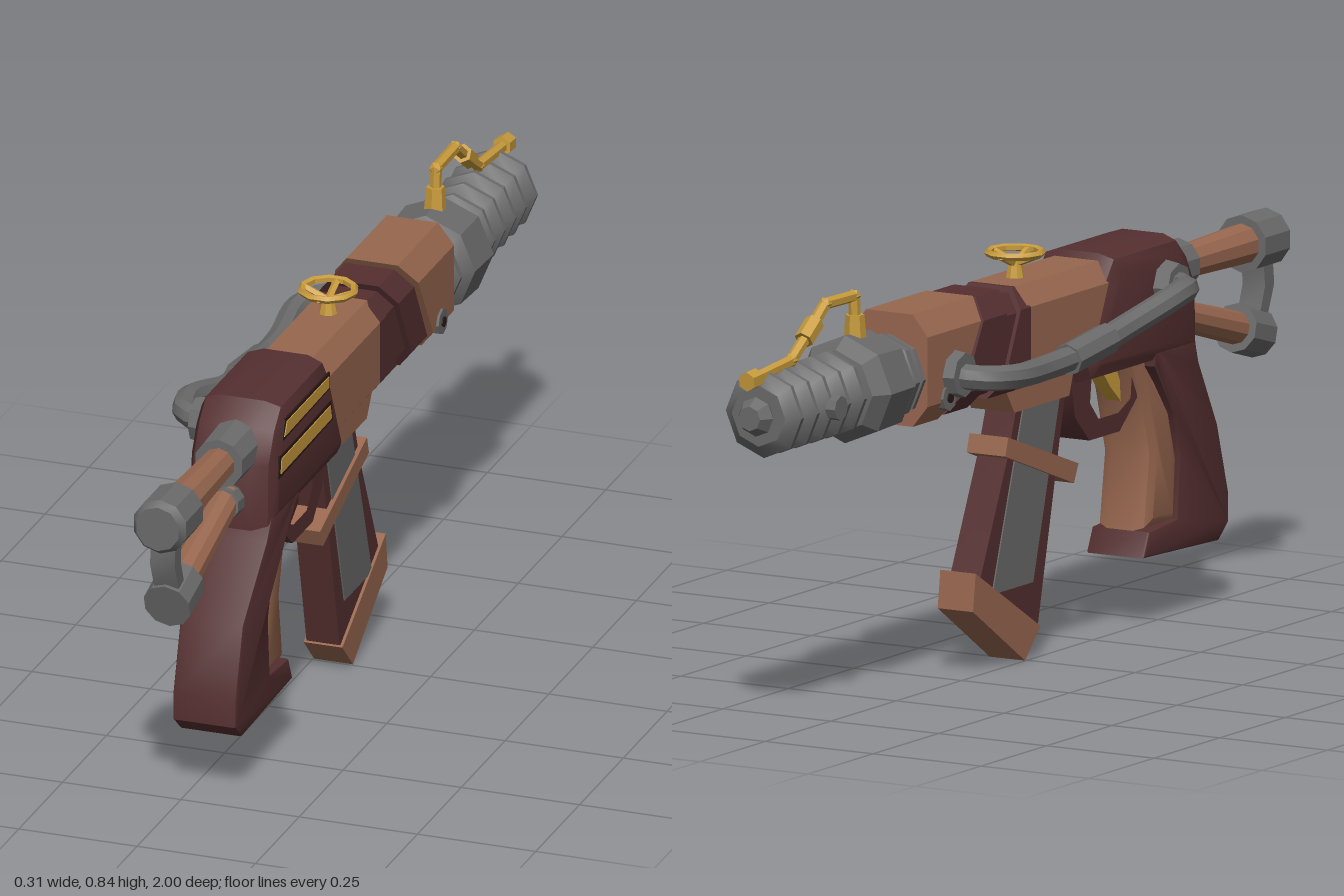
import * as THREE from 'three';
import { toCreasedNormals } from 'three/addons/utils/BufferGeometryUtils.js';

const CX = 0.043; // centre plane of the body
const mat = (name, color) => Object.assign(new THREE.MeshStandardMaterial({ color }), { name });
const V = (x, y, z) => new THREE.Vector3(x, y, z);

export function createModel() {
  const dark = mat('dark wood', 0x552f30);
  const wood = mat('copper brown', 0x98674f);
  const steel = mat('grey steel', 0x6a6a6a);
  const brass = mat('brass', 0xc89b3c);
  const slot = mat('slot shadow', 0x2c1818);
  const model = new THREE.Group();

  const add = (name, geo, material) => {
    const mesh = new THREE.Mesh(toCreasedNormals(geo, 0.6), material);
    mesh.name = name;
    model.add(mesh);
    return mesh;
  };

  // Side outline in (z, y), extruded across x
  const side = (points, width, bevel = 0, thick = bevel, holes = []) => {
    const shape = new THREE.Shape(points.map(p => new THREE.Vector2(...p)));
    for (const h of holes) shape.holes.push(new THREE.Path(h.map(p => new THREE.Vector2(...p))));
    const depth = width - 2 * thick;
    return new THREE.ExtrudeGeometry(shape, {
      depth, bevelEnabled: bevel > 0, bevelSize: bevel, bevelOffset: -bevel,
      bevelThickness: thick, bevelSegments: 2,
    }).translate(0, 0, -depth / 2).rotateY(-Math.PI / 2).translate(CX, 0, 0);
  };

  // Chamfered body section between two z stations, with optional slanted ends
  const slab = (z0, z1, s = 1, slant0 = 0, slant1 = 0) => {
    const pts = [[0.05, 0.105], [0.082, 0.065], [0.082, -0.065], [0.05, -0.105]];
    const ring = [...pts, ...pts.map(([x, y]) => [-x, y]).reverse()];
    const geo = new THREE.ExtrudeGeometry(
      new THREE.Shape(ring.map(([x, y]) => new THREE.Vector2(x * s, y * s))),
      { depth: 1, bevelEnabled: false });
    const p = geo.attributes.position;
    for (let i = 0; i < p.count; i++) {
      const t = p.getZ(i), drop = 0.105 - p.getY(i);
      p.setZ(i, THREE.MathUtils.lerp(z1 - slant1 * drop, z0 - slant0 * drop, t));
    }
    return geo.translate(CX, 0.66, 0);
  };

  // Straight round bar between two points
  const rod = (a, b, r0, r1 = r0, n = 8) => {
    const d = b.clone().sub(a);
    const q = new THREE.Quaternion().setFromUnitVectors(V(0, 1, 0), d.clone().normalize());
    return new THREE.CylinderGeometry(r1, r0, d.length(), n).applyQuaternion(q)
      .translate(...a.clone().add(b).multiplyScalar(0.5).toArray());
  };

  // Receiver
  add('receiver', slab(0.3, -0.06), wood);
  add('foreEndCore', slab(-0.05, -0.33, 0.9), dark);
  add('foreEndCollar', slab(-0.05, -0.07, 1, 0, 0.45), dark);
  add('foreEndRing', slab(-0.125, -0.215, 1.04, 0.55, 0.55), dark);
  add('foreEnd', slab(-0.23, -0.455, 1.08, 0.6, 0), wood);

  // Rear housing
  add('rearHousing', side([[0.594, 0.53], [0.59, 0.67], [0.556, 0.735], [0.513, 0.778],
    [0.267, 0.778], [0.235, 0.735], [0.16, 0.57], [0.18, 0.53]], 0.184, 0.035, 0.045), dark);
  const stripes = [
    [[0.515, 0.742], [0.275, 0.742], [0.275, 0.718], [0.53, 0.714]],
    [[0.545, 0.673], [0.268, 0.676], [0.26, 0.646], [0.55, 0.642]],
  ];
  for (const s of stripes) {
    const cz = s.reduce((t, p) => t + p[0] / 4, 0), cy = s.reduce((t, p) => t + p[1] / 4, 0);
    const frame = s.map(([z, y]) => [cz + (z - cz) * 1.06, cy + (y - cy) * 1.5]);
    add('stripeSlot', side(frame, 0.004).translate(0.0915, 0, 0), slot);
    add('brassStripe', side(s, 0.006).translate(0.0925, 0, 0), brass);
  }

  // Grip, widening where it meets the housing
  const grip = side([[0.57, 0.57], [0.594, 0.51], [0.69, 0.366], [0.733, 0.22], [0.733, 0.163],
    [0.695, 0.13], [0.406, 0.14], [0.428, 0.19], [0.535, 0.2], [0.545, 0.324], [0.52, 0.414],
    [0.42, 0.527], [0.42, 0.57]], 0.134, 0.006);
  const gp = grip.attributes.position;
  for (let i = 0; i < gp.count; i++) {
    const k = 1 + 0.3 * THREE.MathUtils.smoothstep(gp.getY(i), 0.4, 0.56);
    gp.setX(i, CX + (gp.getX(i) - CX) * k);
  }
  add('grip', grip, dark);
  add('gripFront', side([[0.43, 0.57], [0.53, 0.42], [0.56, 0.32], [0.55, 0.19], [0.425, 0.19],
    [0.446, 0.34], [0.41, 0.47], [0.36, 0.57]], 0.12, 0.025, 0.03), wood);

  // Trigger and guard
  add('triggerGuard', side([[0.43, 0.56], [0.42, 0.465], [0.35, 0.405], [0.235, 0.405], [0.18, 0.46],
    [0.16, 0.56]], 0.09, 0, 0,
  [[[0.4, 0.545], [0.392, 0.465], [0.345, 0.443], [0.27, 0.443], [0.237, 0.48], [0.245, 0.545]]]), dark);
  add('trigger', side([[0.4, 0.455], [0.39, 0.56], [0.3, 0.56], [0.36, 0.49]], 0.035), brass);

  // Magazine
  add('magazineHolder', side([[0.17, 0.57], [-0.1, 0.57], [-0.06, 0.51], [0.15, 0.51]], 0.1), wood);
  add('magazine', side([[0.16, 0.52], [-0.025, 0.52], [-0.06, 0.42], [-0.17, 0.18], [-0.005, 0.03],
    [0.055, 0.065]], 0.07), dark);
  add('magazinePanels', side([[0.134, 0.51], [-0.005, 0.51], [-0.123, 0.152], [0.032, 0.152]], 0.076), steel);
  add('magazineBand', side([[0.193, 0.366], [-0.075, 0.462], [-0.086, 0.425], [0.176, 0.329]], 0.09), wood);
  add('magazineFoot', side([[0.055, 0.06], [-0.193, 0.206], [-0.203, 0.13], [-0.005, 0]], 0.082), wood);

  // Ribbed barrel, as radius against distance forward
  const profile = [[0, 0.44], [0.085, 0.44], [0.085, 0.465], [0.065, 0.47], [0.09, 0.485], [0.09, 0.5],
    [0.075, 0.51], [0.105, 0.53], [0.109, 0.625], [0.085, 0.66]];
  for (let i = 0; i < 5; i++) {
    const z = 0.665 + i * 0.06;
    profile.push([0.062, z], [0.088, z + 0.02], [0.088, z + 0.03], [0.062, z + 0.05]);
  }
  profile.push([0.035, 0.955], [0.04, 0.965], [0.025, 0.99], [0, 0.99]);
  add('barrel', new THREE.LatheGeometry(profile.map(p => new THREE.Vector2(...p)), 8)
    .rotateX(-Math.PI / 2).translate(CX, 0.645, 0), steel);
  add('barrelKnob', rod(V(0, 0.645, -0.8), V(-0.055, 0.645, -0.8), 0.025), steel);

  // Screws on both sides of the fore-end
  for (const s of [-1, 1]) {
    add('screw', rod(V(CX, 0.597, -0.378), V(CX + s * 0.094, 0.597, -0.378), 0.027), steel);
    add('screwCentre', rod(V(CX, 0.597, -0.378), V(CX + s * 0.097, 0.597, -0.378), 0.011), slot);
  }

  // Brass feed line above the barrel
  const line = [[0.74, -0.585], [0.828, -0.59], [0.83, -0.7], [0.785, -0.76], [0.737, -0.83], [0.722, -0.985]]
    .map(([y, z]) => V(CX, y, z));
  for (let i = 1; i < line.length; i++) {
    add('feedLine', rod(line[i - 1], line[i], 0.012, 0.012, 6), brass);
    if (i < 5) add('feedElbow', new THREE.IcosahedronGeometry(0.014, 0).translate(...line[i].toArray()), brass);
  }
  add('feedBase', rod(V(CX, 0.735, -0.585), V(CX, 0.79, -0.587), 0.023, 0.019, 6), brass);
  add('feedJoint', rod(V(CX, 0.8, -0.74), V(CX, 0.77, -0.782), 0.02, 0.02, 6), brass);
  add('feedTip', rod(V(CX, 0.724, -0.965), V(CX, 0.721, -1), 0.02, 0.02, 6), brass);

  // Valve wheel
  add('valveRim', new THREE.TorusGeometry(0.054, 0.008, 5, 10).rotateX(Math.PI / 2)
    .translate(CX, 0.815, 0.025), brass);
  add('valveStem', rod(V(CX, 0.75, 0.025), V(CX, 0.798, 0.025), 0.022, 0.012), brass);
  for (let i = 0; i < 4; i++) {
    const a = i * Math.PI / 2;
    add('valveSpoke', rod(V(CX, 0.792, 0.025),
      V(CX + 0.054 * Math.cos(a), 0.815, 0.025 + 0.054 * Math.sin(a)), 0.008, 0.008, 5), brass);
  }

  // Rear stock: two struts joined by a link
  add('upperCollar', rod(V(CX, 0.69, 0.55), V(CX, 0.69, 0.65), 0.056, 0.052, 10), steel);
  add('upperStrut', rod(V(CX, 0.69, 0.64), V(CX, 0.69, 0.9), 0.034, 0.042, 10), wood);
  add('upperCap', rod(V(CX, 0.69, 0.89), V(CX, 0.69, 0.985), 0.058, 0.058, 10), steel);
  add('upperCapEnd', rod(V(CX, 0.69, 0.985), V(CX, 0.69, 1), 0.058, 0.047, 10), steel);
  add('lowerCollar', rod(V(CX, 0.585, 0.55), V(CX, 0.594, 0.63), 0.035, 0.035, 10), steel);
  add('lowerStrut', rod(V(CX, 0.6, 0.6), V(CX, 0.521, 0.88), 0.03, 0.034, 10), wood);
  add('lowerCap', rod(V(CX, 0.525, 0.865), V(CX, 0.502, 0.945), 0.05, 0.05, 10), steel);
  add('stockLink', side([[0.965, 0.66], [0.972, 0.6], [0.945, 0.535], [0.915, 0.54], [0.937, 0.6],
    [0.93, 0.66]], 0.052), steel);

  // Side pipe with sleeve and end caps
  const path = new THREE.CatmullRomCurve3([V(-0.02, 0.64, -0.35), V(-0.09, 0.635, -0.345),
    V(-0.13, 0.63, -0.28), V(-0.116, 0.622, -0.12), V(-0.112, 0.63, 0.05), V(-0.11, 0.652, 0.2),
    V(-0.127, 0.69, 0.36), V(-0.1, 0.692, 0.44), V(-0.03, 0.69, 0.45)]);
  add('sidePipe', new THREE.TubeGeometry(path, 32, 0.026, 8), steel);
  add('pipeSleeve', rod(V(-0.112, 0.622, -0.03), V(-0.111, 0.64, 0.12), 0.033), steel);
  add('pipeFrontCap', rod(V(0, 0.64, -0.35), V(-0.07, 0.64, -0.35), 0.055, 0.045), steel);
  add('pipeRearCap', rod(V(0, 0.69, 0.45), V(-0.08, 0.69, 0.45), 0.058, 0.045), steel);

  return model;
}
